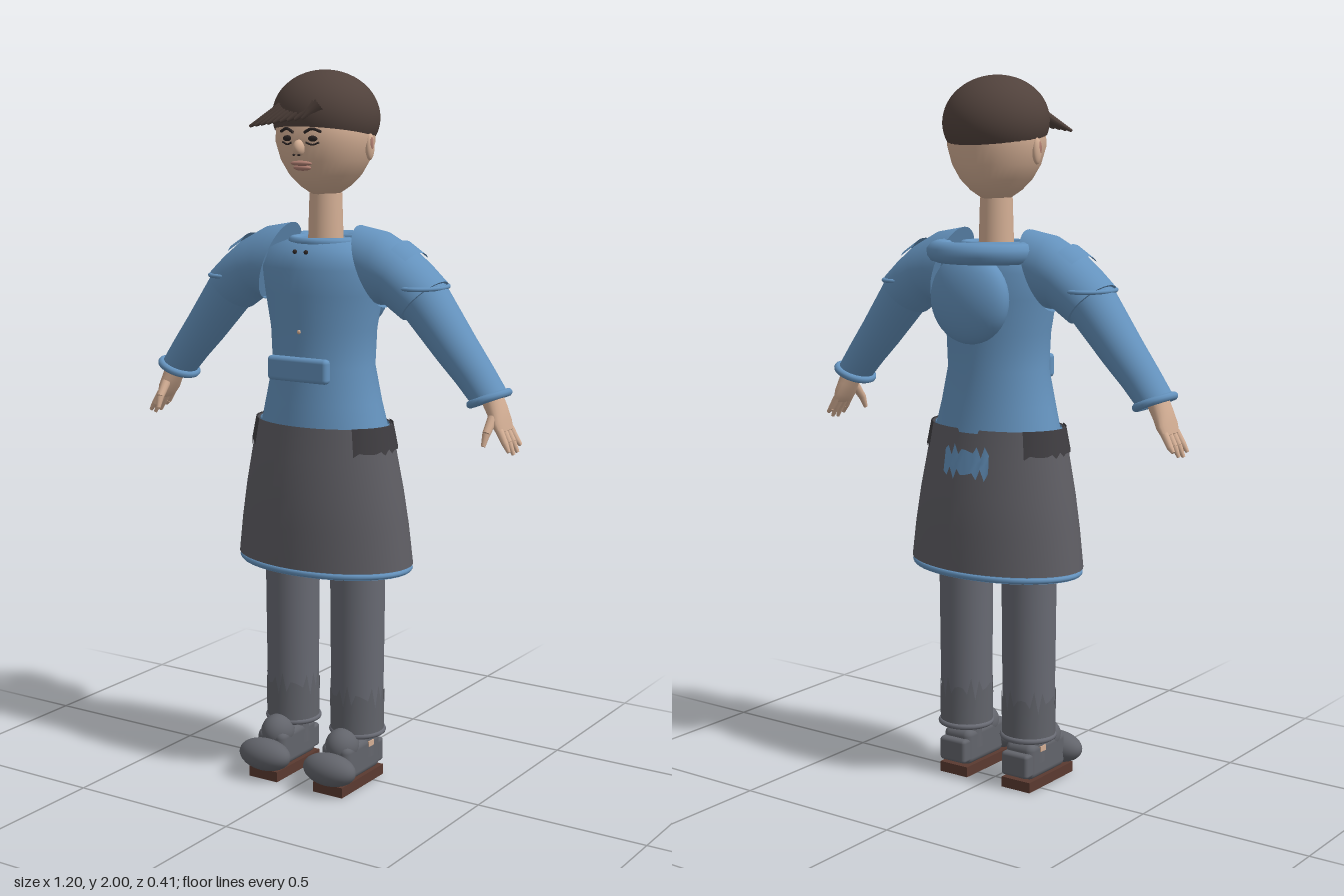
import * as THREE from 'three';
import { RoundedBoxGeometry } from 'three/addons/geometries/RoundedBoxGeometry.js';

const V = (x, y, z) => new THREE.Vector3(x, y, z);
const rad = THREE.MathUtils.degToRad;

export function createModel() {
  const root = new THREE.Group();
  root.name = 'figure';
  const mat = (name, color, side = THREE.DoubleSide) => {
    const m = new THREE.MeshStandardMaterial({ color, side });
    m.name = name;
    return m;
  };
  const blue = mat('blue cloth', 0x6492bd);
  const apronGrey = mat('apron grey', 0x5e5d63);
  const darkGrey = mat('dark grey', 0x3f3d41);
  const trouserGrey = mat('trouser grey', 0x686a73);
  const wornGrey = mat('worn grey', 0x62646b);
  const skin = mat('skin', 0xd3ae94);
  const hair = mat('dark brown', 0x51423c);
  const sole = mat('sole brown', 0x5a3a30);
  const ink = mat('near black', 0x2c2524);
  const lip = mat('lip', 0xb07f72);

  const add = (name, geo, material, parent = root) => {
    const m = new THREE.Mesh(geo, material);
    m.name = name;
    parent.add(m);
    return m;
  };

  // Skin over elliptical rings [x, y, z, rx, rz, tilt], listed from the low end to the high end
  function loft(rings, { n = 40, start = 0, len = Math.PI * 2, cap = false, jagTop = 0, jagLow = 0 } = {}) {
    const pos = [], idx = [], closed = len > 6.28, cols = closed ? n : n + 1;
    const ring = ([x, y, z, rx, rz, tilt = 0], jag = 0) => {
      for (let j = 0; j < cols; j++) {
        const t = start + len * j / n, dx = rx * Math.cos(t), dj = jag * (0.6 * (j % 2) + 0.4 * Math.sin(j * 2.3));
        pos.push(x + dx * Math.cos(tilt), y + dx * Math.sin(tilt) + dj, z + rz * Math.sin(t));
      }
    };
    rings.forEach((r, i) => ring(r, i === 0 ? jagLow : i === rings.length - 1 ? jagTop : 0));
    for (let i = 0; i < rings.length - 1; i++)
      for (let j = 0; j < n; j++) {
        const k = (j + 1) % cols, a = i * cols + j, b = i * cols + k;
        idx.push(a, a + cols, b, b, a + cols, b + cols);
      }
    if (cap) [0, rings.length - 1].forEach((i) => {
      const base = pos.length / 3;
      ring(rings[i]);
      pos.push(rings[i][0], rings[i][1], rings[i][2]);
      for (let j = 0; j < n; j++) {
        const a = base + j, b = base + (j + 1) % cols, c = base + cols;
        i === 0 ? idx.push(c, a, b) : idx.push(c, b, a);
      }
    });
    const g = new THREE.BufferGeometry();
    g.setAttribute('position', new THREE.Float32BufferAttribute(pos, 3));
    g.setIndex(idx);
    g.computeVertexNormals();
    return g;
  }
  // Body ring from height, half width, front z and back z
  const br = (y, rx, zf, zb) => [0, y, (zf + zb) / 2, rx, (zf - zb) / 2];
  const grow = (rings, d) => rings.map(([x, y, z, a, b]) => [x, y, z, a + d, b + d]);
  const ball = (x, y, z, rx, ry, rz) => new THREE.SphereGeometry(1, 32, 20).scale(rx, ry, rz).translate(x, y, z);
  const hoop = (x, y, z, rx, rz, thick, tilt = 0) => new THREE.TorusGeometry(1, thick / rx, 10, 40)
    .rotateX(Math.PI / 2).scale(rx, rx, rz).rotateZ(tilt).translate(x, y, z);
  const taper = (a, b, ra, rb) => {
    const d = b.clone().sub(a);
    const g = new THREE.CylinderGeometry(rb, ra, d.length(), 12);
    g.applyQuaternion(new THREE.Quaternion().setFromUnitVectors(V(0, 1, 0), d.clone().normalize()));
    return g.translate((a.x + b.x) / 2, (a.y + b.y) / 2, (a.z + b.z) / 2);
  };
  const tube = (pts, r, seg = 32) => new THREE.TubeGeometry(new THREE.CatmullRomCurve3(pts), seg, r, 10);

  // Jacket body, collar, pocket and buttons
  add('jacketBody', loft([
    br(1.03, 0.19, 0.155, -0.13), br(1.1, 0.172, 0.15, -0.12), br(1.2, 0.15, 0.14, -0.11), br(1.3, 0.156, 0.14, -0.11),
    br(1.4, 0.175, 0.145, -0.115), br(1.47, 0.185, 0.145, -0.11), br(1.52, 0.165, 0.13, -0.1), br(1.545, 0.1, 0.09, -0.085),
  ], { cap: true }), blue);
  add('collar', hoop(0, 1.54, 0.005, 0.092, 0.088, 0.013), blue);
  add('frontPocket', new RoundedBoxGeometry(0.195, 0.068, 0.03, 3, 0.012).translate(0, 1.197, 0.142), blue);
  add('button', ball(0, 1.3, 0.14, 0.006, 0.006, 0.004), skin);
  for (const s of [-1, 1]) add('collarStud', ball(s * 0.018, 1.517, 0.132, 0.006, 0.006, 0.006), ink);

  // Lowered hood: bag and rolled rim
  add('hoodBag', ball(0, 1.4, -0.12, 0.125, 0.125, 0.062), blue);
  const rim = [];
  for (let i = 0; i <= 12; i++) {
    const t = Math.PI * i / 12;
    rim.push(V(0.135 * Math.cos(t), 1.525, -0.05 - 0.122 * Math.sin(t)));
  }
  add('hoodRim', tube(rim, 0.03, 48), blue);

  // Lining, apron, hem, side patches and torn hole
  const apron = [br(0.645, 0.27, 0.187, -0.172), br(0.75, 0.256, 0.186, -0.168), br(0.85, 0.24, 0.18, -0.158),
    br(0.95, 0.221, 0.168, -0.142), br(1.04, 0.205, 0.155, -0.128)];
  add('apron', loft(apron), apronGrey);
  add('lining', loft([br(0.625, 0.263, 0.18, -0.166), ...grow(apron, -0.008)]), blue);
  add('hem', hoop(0, 0.634, 0.007, 0.261, 0.172, 0.008), blue);
  for (const s of [0, Math.PI])
    add('sidePatch', loft([br(0.968, 0.222, 0.169, -0.143), br(1.042, 0.209, 0.159, -0.132)],
      { n: 16, start: s - 0.75, len: 1.5, jagLow: 0.012 }), darkGrey);
  add('tornHole', loft([br(0.925, 0.229, 0.176, -0.15), br(0.95, 0.225, 0.172, -0.146), br(0.975, 0.221, 0.168, -0.142)],
    { n: 12, start: -Math.PI / 2 - 0.34, len: 0.68, jagTop: 0.025, jagLow: -0.025 }), blue);

  // Neck, head and face
  add('neck', new THREE.CylinderGeometry(0.045, 0.05, 0.16, 32).translate(0, 1.59, 0.005), skin);
  add('head', loft([br(1.662, 0.012, 0.022, -0.012), br(1.668, 0.036, 0.05, -0.04), br(1.69, 0.068, 0.082, -0.072),
    br(1.72, 0.098, 0.108, -0.098), br(1.76, 0.123, 0.127, -0.115), br(1.81, 0.139, 0.138, -0.124),
    br(1.86, 0.138, 0.135, -0.126), br(1.92, 0.1, 0.1, -0.1)], { cap: true }), skin);
  add('nose', ball(0, 1.795, 0.137, 0.016, 0.022, 0.02), skin);
  add('upperLip', ball(0, 1.754, 0.127, 0.034, 0.007, 0.01), lip);
  add('lowerLip', ball(0, 1.742, 0.122, 0.028, 0.008, 0.01), lip);
  for (const s of [-1, 1]) {
    add('ear', ball(s * 0.138, 1.797, 0, 0.011, 0.036, 0.016), skin);
    add('earInner', ball(s * 0.146, 1.805, 0.003, 0.004, 0.018, 0.007), lip);
    add('eye', ball(s * 0.04, 1.82, 0.132, 0.015, 0.008, 0.005), ink);
    add('eyebrow', tube([V(s * 0.018, 1.836, 0.139), V(s * 0.04, 1.846, 0.136), V(s * 0.064, 1.838, 0.127)], 0.004, 10), ink);
    add('lowerLid', tube([V(s * 0.022, 1.81, 0.138), V(s * 0.04, 1.804, 0.134), V(s * 0.058, 1.81, 0.128)], 0.0025, 10), ink);
    add('nostril', ball(s * 0.008, 1.777, 0.15, 0.004, 0.003, 0.004), ink);
  }

  // Smooth hair with a fringe swept to the right
  const dome = add('hair', new THREE.SphereGeometry(1, 48, 28, 0, Math.PI * 2, 0, Math.PI * 0.62).scale(0.149, 0.125, 0.144), hair);
  dome.position.set(0, 1.876, 0.003);
  dome.rotation.x = -0.16;
  for (let i = 0; i < 9; i++) {
    const f = i / 8;
    add('fringeLock', taper(V(-0.055 + 0.11 * f, 1.908, 0.105 + 0.015 * f),
      V(-0.155 + 0.17 * f, 1.85 + 0.022 * f, 0.145 + 0.01 * Math.sin(f * Math.PI)), 0.021, 0.004), hair);
  }

  for (const s of [-1, 1]) {
    const side = s > 0 ? 'left' : 'right';
    const arm = new THREE.Group();
    arm.name = side + 'Arm';
    root.add(arm);
    const r = (x, y, rx, rz, deg, z = 0.005) => [s * x, y, z, rx, rz, s * rad(deg)];

    // Shoulder, sleeves and cuffs
    add('shortSleeve', loft([r(0.316, 1.392, 0.077, 0.085, 45), r(0.275, 1.425, 0.08, 0.09, 54), r(0.235, 1.455, 0.083, 0.092, 66),
      r(0.19, 1.472, 0.1, 0.092, 90), r(0.152, 1.476, 0.118, 0.088, 111)], { cap: true }), blue, arm);
    add('shoulderFlap', loft([r(0.256, 1.443, 0.088, 0.094, 60), r(0.222, 1.462, 0.093, 0.096, 72)],
      { n: 20, start: s > 0 ? -0.7 : Math.PI - 0.7, len: 1.4 }), blue, arm);
    add('sleeveBand', hoop(s * 0.31, 1.43, 0.005, 0.062, 0.083, 0.006), blue, arm);
    add('longSleeve', loft([r(0.517, 1.145, 0.05, 0.053, 22), r(0.47, 1.205, 0.054, 0.055, 30), r(0.415, 1.27, 0.06, 0.06, 36),
      r(0.315, 1.395, 0.07, 0.076, 45)], { cap: true }), blue, arm);
    add('cuff', hoop(s * 0.515, 1.146, 0.005, 0.052, 0.055, 0.011, s * rad(22)), blue, arm);

    // Hand
    add('palm', loft([r(0.565, 1.06, 0.014, 0.04, 35), r(0.553, 1.085, 0.021, 0.045, 32), r(0.54, 1.115, 0.026, 0.038, 26),
      r(0.522, 1.15, 0.03, 0.032, 22)], { n: 20, cap: true }), skin, arm);
    for (let i = 0; i < 4; i++) {
      const z = 0.035 - i * 0.02, drop = [0.01, 0, 0.003, 0.018][i];
      const knuckle = V(s * 0.582, 1.035, z * 1.12), tip = V(s * (0.597 - drop * 0.2), 1.004 + drop, z * 1.2);
      add('finger', taper(V(s * 0.562, 1.068, z), knuckle, 0.011, 0.009), skin, arm);
      add('fingerEnd', taper(knuckle, tip, 0.009, 0.005), skin, arm);
    }
    add('thumb', taper(V(s * 0.542, 1.1, 0.035), V(s * 0.54, 1.062, 0.066), 0.014, 0.011), skin, arm);
    add('thumbEnd', taper(V(s * 0.54, 1.062, 0.066), V(s * 0.538, 1.03, 0.079), 0.011, 0.006), skin, arm);

    // Trouser leg with worn bottom and turn-up
    const leg = new THREE.Group();
    leg.name = side + 'Leg';
    root.add(leg);
    const x = s * 0.11;
    add('trouserLeg', loft([[x, 0.15, 0.01, 0.074, 0.072], [x, 0.4, 0.01, 0.077, 0.074], [x, 0.75, 0.01, 0.08, 0.077]],
      { cap: true }), trouserGrey, leg);
    add('wornBottom', loft([[x, 0.15, 0.01, 0.077, 0.075], [x, 0.25, 0.01, 0.0785, 0.0755]], { jagTop: 0.05 }), wornGrey, leg);
    add('turnUp', hoop(x, 0.15, 0.008, 0.074, 0.073, 0.008), trouserGrey, leg);

    // Shoe
    add('ankle', new THREE.CylinderGeometry(0.045, 0.05, 0.1, 24).translate(x, 0.125, 0.01), wornGrey, leg);
    add('shoeBody', new RoundedBoxGeometry(0.094, 0.105, 0.18, 3, 0.02).translate(x, 0.082, 0.045), wornGrey, leg);
    add('tongue', ball(x, 0.122, 0.09, 0.048, 0.05, 0.052), wornGrey, leg);
    add('toeCap', ball(x, 0.072, 0.157, 0.083, 0.046, 0.048), wornGrey, leg);
    add('heel', new RoundedBoxGeometry(0.09, 0.07, 0.05, 3, 0.01).translate(x, 0.075, -0.04), wornGrey, leg);
    add('sole', new THREE.BoxGeometry(0.096, 0.03, 0.222).translate(x, 0.015, 0.056), sole, leg);
    add('shoeTab', new THREE.BoxGeometry(0.006, 0.016, 0.026).translate(x + s * 0.047, 0.115, 0.012), skin, leg);
  }
  return root;
}
